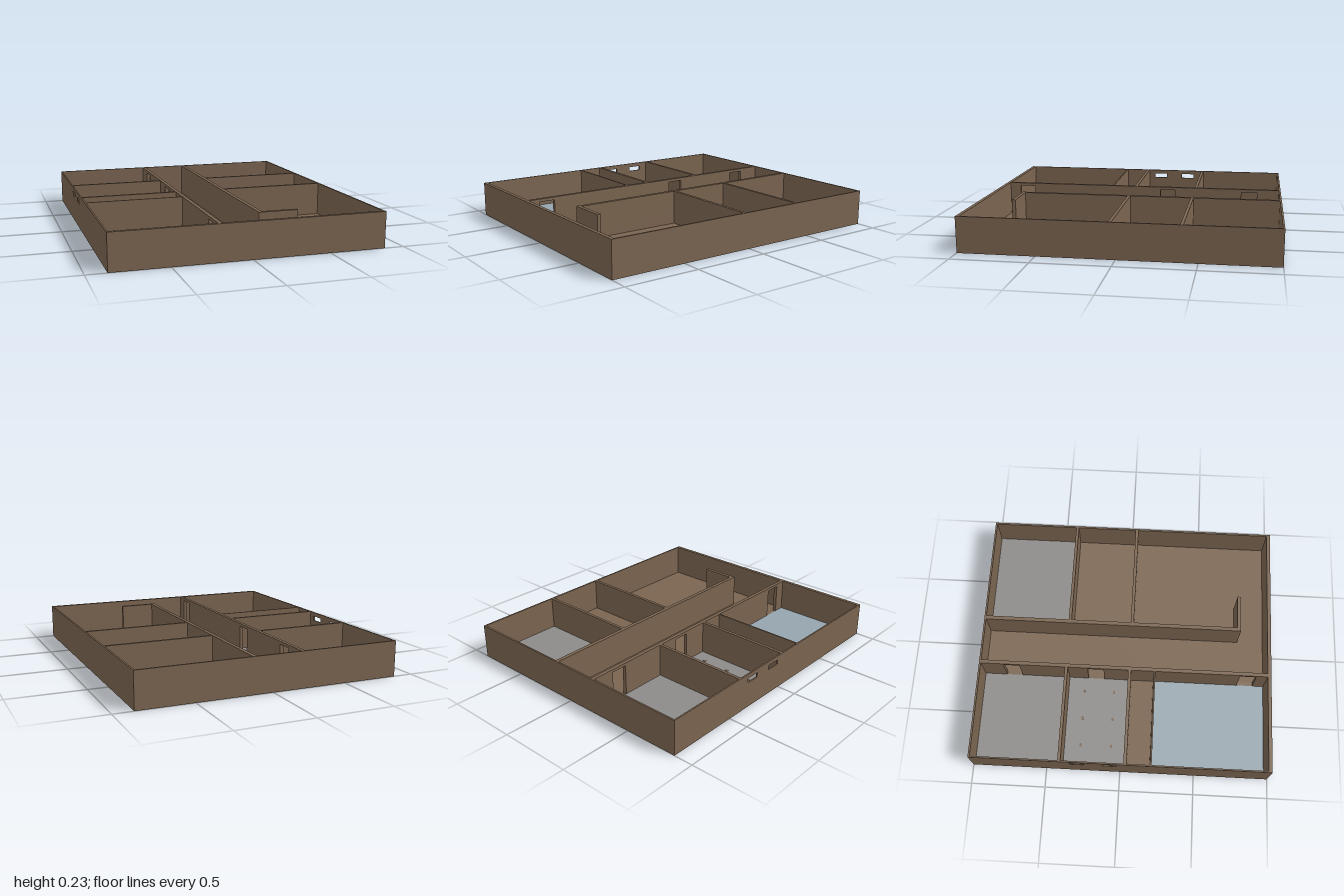
import * as THREE from 'three';

const H = 0.235, FLOOR = 0.008;

export function createModel() {
  const model = new THREE.Group();
  const brown = new THREE.MeshStandardMaterial({ color: 0x7a6450 });
  const grey = new THREE.MeshStandardMaterial({ color: 0x8c8b89 });
  const blue = new THREE.MeshStandardMaterial({ color: 0x95a4ad });
  brown.name = 'wallBrown';
  grey.name = 'floorGrey';
  blue.name = 'floorBlue';

  // Box between two corners
  const block = (name, mat, x0, x1, y0, y1, z0, z1) => {
    const mesh = new THREE.Mesh(new THREE.BoxGeometry(x1 - x0, y1 - y0, z1 - z0), mat);
    mesh.position.set((x0 + x1) / 2, (y0 + y1) / 2, (z0 + z1) / 2);
    mesh.name = name;
    model.add(mesh);
  };
  const wall = (name, x0, x1, z0, z1) => block(name, brown, x0, x1, 0, H, z0, z1);

  // Long wall running along z, pierced by openings [z0, z1, y0, y1]
  const piercedWall = (name, x0, x1, z0, z1, openings) => {
    const rect = (path, a, b, c, d) =>
      path.moveTo(a, c).lineTo(b, c).lineTo(b, d).lineTo(a, d).closePath();
    const shape = new THREE.Shape();
    rect(shape, z0, z1, 0, H);
    for (const [a, b, c, d] of openings) {
      const hole = new THREE.Path();
      rect(hole, a, b, c, d);
      shape.holes.push(hole);
    }
    const geo = new THREE.ExtrudeGeometry(shape, { depth: x1 - x0, bevelEnabled: false });
    geo.rotateY(-Math.PI / 2).translate(x1, 0, 0);
    const mesh = new THREE.Mesh(geo, brown);
    mesh.name = name;
    model.add(mesh);
  };

  // Base slab
  block('baseSlab', brown, -0.868, 0.868, 0, FLOOR, -0.998, 0.998);

  // Outer walls
  wall('backWall', -0.87, 0.87, -1, -0.988);
  wall('frontWall', -0.87, 0.87, 0.976, 1);
  wall('leftSideWall', 0.858, 0.87, -0.988, 0.976);
  piercedWall('windowedSideWall', -0.87, -0.86, -0.988, 0.976, [
    [-0.33, -0.235, 0.175, 0.207],
    [-0.115, -0.02, 0.175, 0.207],
  ]);

  // Corridor walls, one with three doorways
  piercedWall('corridorDoorWall', -0.215, -0.19, -0.988, 0.976,
    [-0.78, -0.2, 0.845].map((z) => [z - 0.055, z + 0.055, FLOOR, 0.215]));
  wall('corridorPlainWall', 0.11, 0.136, -0.988, 0.793);
  wall('corridorWallReturn', 0.136, 0.37, 0.768, 0.793);

  // Cross walls between the rooms
  for (const [z0, z1] of [[-0.41, -0.39], [0.024, 0.045]]) {
    wall('crossWallRight', -0.86, -0.215, z0, z1);
    wall('crossWallLeft', 0.136, 0.858, z0, z1);
  }
  wall('closetWall', -0.86, -0.215, 0.2, 0.21);

  // Coloured floors
  const floor = (name, mat, x0, x1, z0, z1) => block(name, mat, x0, x1, FLOOR, FLOOR + 0.003, z0, z1);
  floor('backRightFloor', grey, -0.86, -0.215, -0.988, -0.41);
  floor('backLeftFloor', grey, 0.136, 0.858, -0.988, -0.41);
  floor('middleRoomFloor', grey, -0.86, -0.215, -0.39, 0.024);
  floor('frontRoomFloor', blue, -0.86, -0.215, 0.21, 0.976);

  // Small floor fittings in the middle room
  for (const x of [-0.7, -0.508, -0.312])
    for (const z of [-0.28, -0.07])
      block('floorFitting', brown, x - 0.011, x + 0.011, FLOOR, FLOOR + 0.006, z - 0.006, z + 0.006);

  return model;
}
